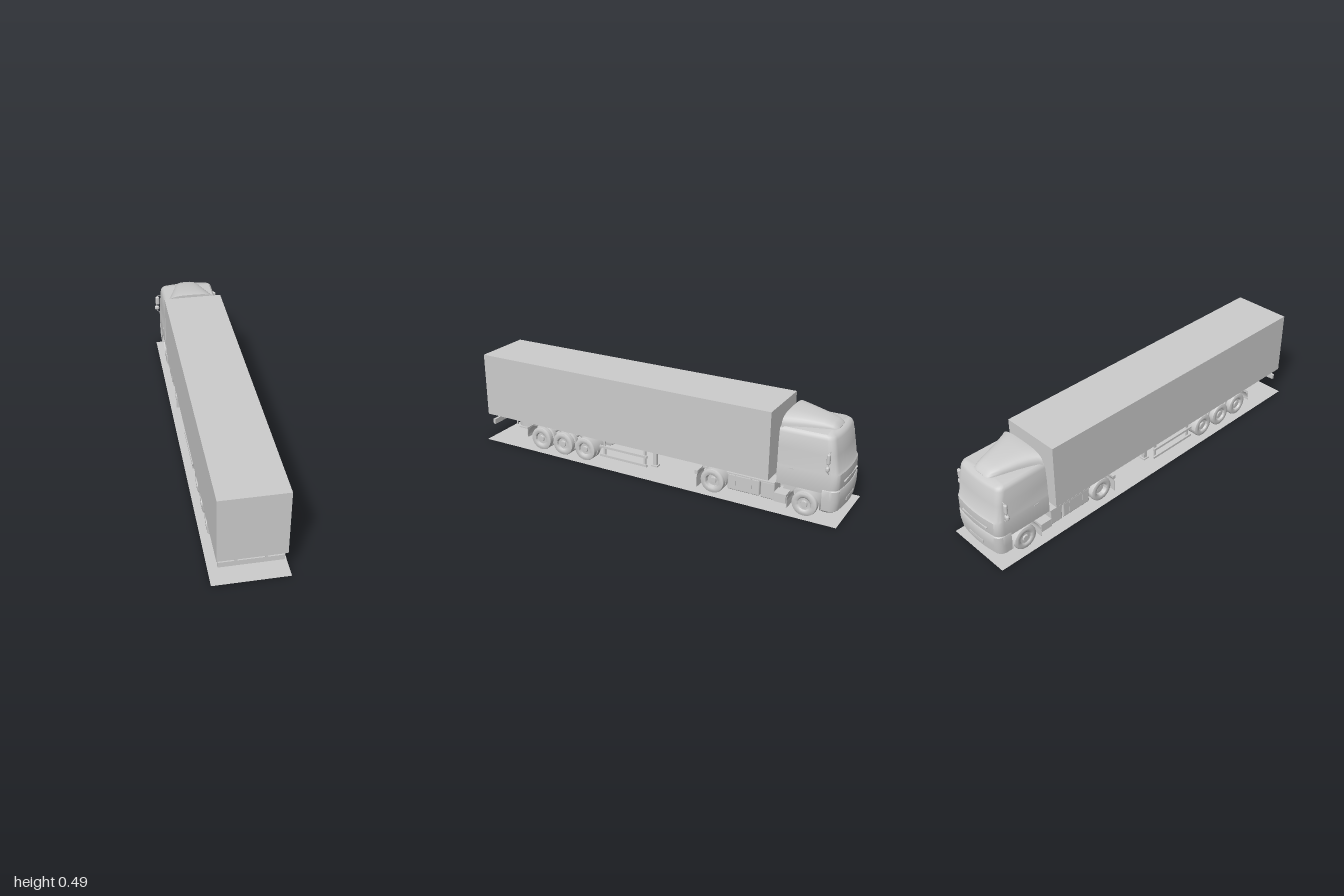
import * as THREE from 'three';
import { toCreasedNormals } from 'three/addons/utils/BufferGeometryUtils.js';
import { RoundedBoxGeometry } from 'three/addons/geometries/RoundedBoxGeometry.js';

const grey = new THREE.MeshStandardMaterial({ color: 0xcccccc });
const thin = new THREE.MeshStandardMaterial({ color: 0xcccccc, side: THREE.DoubleSide });

function add(parent, name, geo, x = 0, y = 0, z = 0, mat = grey) {
  const m = new THREE.Mesh(geo, mat);
  m.name = name;
  m.position.set(x, y, z);
  parent.add(m);
  return m;
}

// box given by its limits
function box(parent, name, [x0, x1], [y0, y1], [z0, z1]) {
  return add(parent, name, new THREE.BoxGeometry(x1 - x0, y1 - y0, z1 - z0),
    (x0 + x1) / 2, (y0 + y1) / 2, (z0 + z1) / 2);
}

// box on both sides of the centre line
function pair(parent, name, [x0, x1], ys, zs) {
  box(parent, name + 'Left', [x0, x1], ys, zs);
  box(parent, name + 'Right', [-x1, -x0], ys, zs);
}

// closed skin through rings of equal length, capped at both ends
function loft(rings, crease = 0.6) {
  const n = rings[0].length, pos = [], idx = [];
  rings.forEach(r => r.forEach(p => pos.push(...p)));
  for (let i = 0; i < rings.length - 1; i++) for (let j = 0; j < n; j++) {
    const a = i * n + j, b = i * n + (j + 1) % n;
    idx.push(a, b, b + n, a, b + n, a + n);
  }
  [0, rings.length - 1].forEach(i => {
    const c = [0, 1, 2].map(k => rings[i].reduce((s, p) => s + p[k], 0) / n);
    const ci = pos.length / 3;
    pos.push(...c);
    for (let j = 0; j < n; j++) {
      const a = i * n + j, b = i * n + (j + 1) % n;
      if (i) idx.push(ci, a, b); else idx.push(ci, b, a);
    }
  });
  const g = new THREE.BufferGeometry();
  g.setAttribute('position', new THREE.Float32BufferAttribute(pos, 3));
  g.setIndex(idx);
  return toCreasedNormals(g, crease);
}

// horizontal cab outline: square at the back, rounded corners and a bowed nose in front
function cabRing(y, w, front, back, r) {
  const ring = [[w, y, back]];
  for (let k = 0; k <= 6; k++) {
    const a = k / 6 * Math.PI / 2;
    ring.push([w - r + r * Math.cos(a), y, front + 0.01 + r - r * Math.sin(a)]);
  }
  for (let k = 1; k < 6; k++) {
    const t = 1 - k / 3;
    ring.push([(w - r) * t, y, front + 0.01 * t * t]);
  }
  for (let k = 6; k >= 0; k--) {
    const a = k / 6 * Math.PI / 2;
    ring.push([-(w - r + r * Math.cos(a)), y, front + 0.01 + r - r * Math.sin(a)]);
  }
  ring.push([-w, y, back]);
  return ring;
}

// wheel turned about the x axis; dish is the depth of the rim
function wheel(parent, name, x, z, width, dish) {
  const h = width / 2;
  const pts = [[0, -h * 0.6], [0.034, -h * 0.6], [0.037, -h], [0.052, -h], [0.06, -h * 0.8], [0.062, -h * 0.5],
    [0.062, h * 0.5], [0.06, h * 0.8], [0.052, h], [0.037, h], [0.034, h * 0.9], [0.03, h - dish],
    [0.017, h - dish], [0.015, h - dish + 0.007], [0.007, h - dish + 0.008], [0, h - dish + 0.008]];
  const g = new THREE.LatheGeometry(pts.map(p => new THREE.Vector2(...p)), 32);
  g.rotateZ(-Math.sign(x) * Math.PI / 2);
  add(parent, name, toCreasedNormals(g, 0.6), x, 0.062, z);
}

// curved mudguards over a wheel; angle 0 points back, a quarter turn points up
function fender(parent, name, z, r, a0, a1, x0, x1) {
  for (const s of [1, -1]) {
    const g = new THREE.CylinderGeometry(r, r, x1 - x0, 16, 1, true, a0, a1 - a0);
    g.rotateZ(Math.PI / 2);
    add(parent, name, g, s * (x0 + x1) / 2, 0.063, z, thin);
  }
}

function rod(parent, name, len, r, x, y, z) {
  const g = new THREE.CylinderGeometry(r, r, len, 16);
  g.rotateZ(Math.PI / 2);
  add(parent, name, g, x, y, z);
}

function buildTrailer() {
  const t = new THREE.Group();
  t.name = 'trailer';
  box(t, 'cargoBox', [-0.155, 0.155], [0.145, 0.485], [-0.655, 1]);

  // frame rails, tapering to a thin neck at the front
  const rail = new THREE.Shape([[0.98, 0.146], [0.98, 0.115], [-0.05, 0.115], [-0.21, 0.14], [-0.6, 0.14], [-0.6, 0.146]]
    .map(p => new THREE.Vector2(...p)));
  for (const x of [-0.072, 0.06]) {
    const g = new THREE.ExtrudeGeometry(rail, { depth: 0.012, bevelEnabled: false });
    g.rotateY(-Math.PI / 2);
    add(t, 'frameRail', g, x + 0.012, 0, 0);
  }
  for (const z of [-0.03, 0.2, 0.45, 0.6, 0.76, 0.96]) box(t, 'crossMember', [-0.06, 0.06], [0.117, 0.143], [z, z + 0.012]);

  // rear underrun bar with hangers
  box(t, 'rearBar', [-0.146, 0.146], [0.087, 0.115], [0.965, 0.978]);
  pair(t, 'barHanger', [0.06, 0.072], [0.1, 0.145], [0.955, 0.967]);

  // spare wheel lying flat in its cradle
  const spare = new THREE.CylinderGeometry(0.062, 0.062, 0.034, 32);
  add(t, 'spareWheel', spare, 0, 0.086, 0.83);
  box(t, 'spareCradle', [-0.07, 0.07], [0.063, 0.07], [0.8, 0.86]);
  pair(t, 'cradleStrut', [0.036, 0.043], [0.063, 0.13], [0.893, 0.9]);

  // three axles with twin wheels
  for (const z of [0.38, 0.52, 0.66]) {
    rod(t, 'axle', 0.2, 0.011, 0, 0.062, z);
    for (const s of [1, -1]) {
      wheel(t, 'outerWheel', s * 0.125, z, 0.034, 0.012);
      wheel(t, 'innerWheel', s * 0.09, z, 0.032, 0.012);
    }
    pair(t, 'suspension', [0.05, 0.068], [0.06, 0.118], [z - 0.02, z + 0.02]);
  }
  fender(t, 'rearFender', 0.66, 0.079, 0.05, Math.PI / 2, 0.072, 0.151);
  fender(t, 'frontFender', 0.38, 0.079, Math.PI / 2, Math.PI - 0.1, 0.072, 0.151);
  pair(t, 'mudFlap', [0.072, 0.151], [0.06, 0.115], [0.738, 0.741]);

  // side guards on posts
  for (const y of [0.052, 0.1]) pair(t, 'guardRail', [0.138, 0.146], [y, y + 0.012], [0, 0.28]);
  for (const z of [0.01, 0.25]) pair(t, 'guardPost', [0.13, 0.138], [0.052, 0.146], [z, z + 0.012]);

  // landing legs
  pair(t, 'landingLeg', [0.09, 0.108], [0.055, 0.146], [-0.034, -0.014]);
  pair(t, 'landingFoot', [0.083, 0.115], [0.048, 0.055], [-0.042, -0.006]);
  rod(t, 'legBrace', 0.19, 0.005, 0, 0.11, -0.024);
  return t;
}

function buildCab() {
  const c = new THREE.Group();
  c.name = 'cab';
  const back = -0.695;
  // shell levels: height, half width, nose position, corner radius
  const levels = [[0.145, 0.152, -0.99, 0.04], [0.175, 0.155, -0.998, 0.04], [0.24, 0.156, -0.996, 0.04], [0.25, 0.154, -0.988, 0.035],
    [0.33, 0.152, -0.975, 0.035], [0.4, 0.147, -0.962, 0.035], [0.414, 0.142, -0.955, 0.035], [0.422, 0.133, -0.942, 0.03]];
  add(c, 'cabShell', loft(levels.map(([y, w, f, r]) => cabRing(y, w, f, back, r))));

  // bumper below the shell, in front of the wheels
  const bumper = [[0.05, 0.142, -0.982, 0.035], [0.06, 0.152, -0.994, 0.04], [0.11, 0.156, -1, 0.04], [0.16, 0.156, -1, 0.04], [0.165, 0.153, -0.997, 0.04]];
  add(c, 'bumper', loft(bumper.map(([y, w, f, r]) => cabRing(y, w, f, -0.915, r))));
  box(c, 'grilleSlat', [-0.09, 0.09], [0.195, 0.2], [-0.9995, -0.98]);
  box(c, 'numberPanel', [-0.05, 0.05], [0.085, 0.1], [-1, -0.98]);

  // roof deflector: arched sections from the brow to the back; z, half width, top
  const roof = [[-0.935, 0.045, 0.424], [-0.927, 0.055, 0.434], [-0.91, 0.062, 0.446], [-0.87, 0.075, 0.457],
    [-0.8, 0.097, 0.468], [-0.75, 0.116, 0.474], [-0.715, 0.132, 0.476], [-0.7, 0.142, 0.475]];
  add(c, 'roofDeflector', loft(roof.map(([z, w, top]) => Array.from({ length: 17 }, (_, k) => {
    const a = k / 16 * Math.PI, cs = Math.cos(a);
    return [w * Math.sign(cs) * Math.abs(cs) ** 0.65, 0.412 + (top - 0.412) * Math.sin(a) ** 0.65, z];
  }))));

  // mirrors on bent arms, door handles and steps
  for (const s of [1, -1]) {
    const arm = new THREE.CatmullRomCurve3([[0.145, 0.352], [0.163, 0.354], [0.171, 0.345], [0.172, 0.3], [0.17, 0.262], [0.163, 0.252], [0.15, 0.252]]
      .map(([x, y]) => new THREE.Vector3(s * x, y, -0.94)));
    add(c, 'mirrorArm', new THREE.TubeGeometry(arm, 24, 0.002, 8));
    add(c, 'mainMirror', new RoundedBoxGeometry(0.022, 0.052, 0.016, 4, 0.008), s * 0.167, 0.324, -0.938);
    add(c, 'wideMirror', new RoundedBoxGeometry(0.026, 0.025, 0.018, 4, 0.009), s * 0.171, 0.278, -0.938);
    add(c, 'doorHandle', new THREE.BoxGeometry(0.004, 0.006, 0.025), s * 0.156, 0.235, -0.765);
  }
  pair(c, 'step', [0.09, 0.15], [0.045, 0.09], [-0.745, -0.685]);
  fender(c, 'wheelArch', -0.83, 0.079, -0.1, Math.PI + 0.1, 0.07, 0.154);
  box(c, 'engineBay', [-0.07, 0.07], [0.07, 0.15], [-0.92, -0.7]);
  pair(c, 'frontFlap', [0.06, 0.15], [0.025, 0.08], [-0.751, -0.748]);
  return c;
}

function buildChassis() {
  const c = new THREE.Group();
  c.name = 'tractorChassis';
  pair(c, 'frameRail', [0.045, 0.057], [0.085, 0.125], [-0.92, -0.265]);
  for (const z of [-0.275, -0.5, -0.66]) box(c, 'crossMember', [-0.045, 0.045], [0.09, 0.12], [z, z + 0.01]);

  // fuel tanks with top ledge and straps
  for (const s of [1, -1]) {
    add(c, 'fuelTank', new RoundedBoxGeometry(0.08, 0.085, 0.165, 4, 0.008), s * 0.105, 0.088, -0.527);
    add(c, 'sideLocker', new RoundedBoxGeometry(0.08, 0.085, 0.07, 4, 0.006), s * 0.105, 0.088, -0.65);
  }
  pair(c, 'tankLedge', [0.06, 0.147], [0.128, 0.135], [-0.685, -0.44]);
  for (const z of [-0.49, -0.57]) pair(c, 'tankStrap', [0.143, 0.147], [0.05, 0.13], [z, z + 0.006]);

  // fifth wheel coupling and equipment behind the cab
  add(c, 'fifthWheel', new THREE.CylinderGeometry(0.055, 0.055, 0.012, 32), 0, 0.136, -0.385);
  box(c, 'couplingMount', [-0.05, 0.05], [0.12, 0.132], [-0.435, -0.34]);
  box(c, 'airIntake', [-0.045, 0.01], [0.12, 0.4], [-0.7, -0.68]);
  rod(c, 'airTank', 0.1, 0.015, 0, 0.09, -0.285);

  // steering axle and driven axle with twin wheels
  rod(c, 'frontAxle', 0.22, 0.01, 0, 0.062, -0.83);
  rod(c, 'driveAxle', 0.2, 0.013, 0, 0.062, -0.36);
  add(c, 'differential', new THREE.SphereGeometry(0.028, 24, 16), 0, 0.062, -0.36);
  for (const s of [1, -1]) {
    wheel(c, 'frontWheel', s * 0.125, -0.83, 0.036, 0.006);
    wheel(c, 'outerDriveWheel', s * 0.125, -0.36, 0.034, 0.022);
    wheel(c, 'innerDriveWheel', s * 0.09, -0.36, 0.032, 0.012);
  }
  fender(c, 'driveFender', -0.36, 0.077, 0.2, 1.2, 0.072, 0.149);
  fender(c, 'driveFenderFront', -0.36, 0.077, 1.95, 2.9, 0.072, 0.149);
  pair(c, 'driveFlap', [0.072, 0.151], [0.018, 0.08], [-0.285, -0.282]);
  pair(c, 'tailLight', [0.08, 0.14], [0.08, 0.1], [-0.282, -0.266]);
  return c;
}

export function createModel() {
  const model = new THREE.Group();
  model.name = 'articulatedTruck';
  model.add(buildTrailer(), buildCab(), buildChassis());
  // flat sheet the wheels press through slightly
  const sheet = new THREE.PlaneGeometry(0.356, 2);
  sheet.rotateX(-Math.PI / 2);
  add(model, 'baseSheet', sheet, 0, 0.002, 0, thin);
  return model;
}
